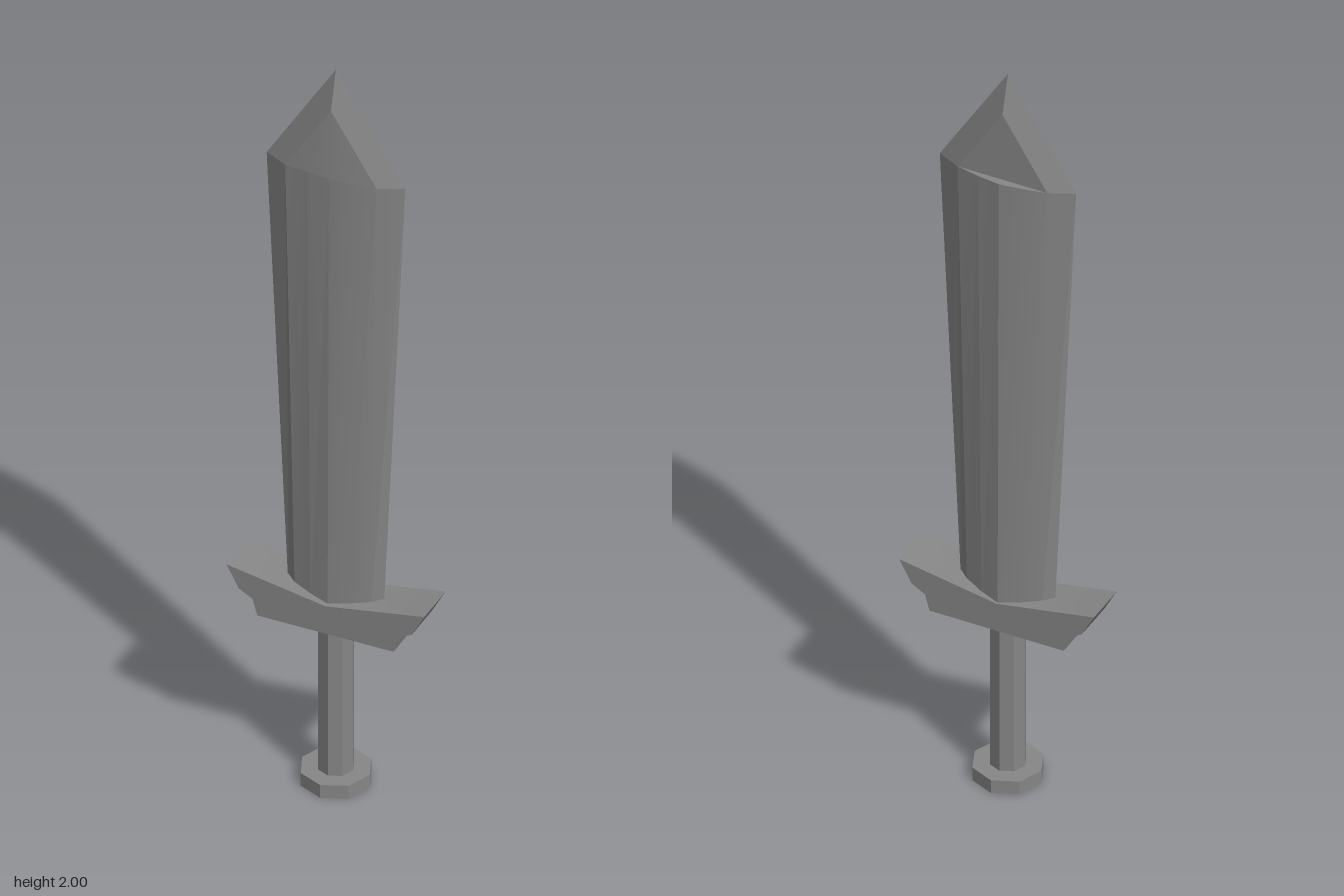
import * as THREE from 'three';
import { toCreasedNormals } from 'three/addons/utils/BufferGeometryUtils.js';

const color = 0x868686;
const material = new THREE.MeshStandardMaterial({ color });
const flat = new THREE.MeshStandardMaterial({ color, flatShading: true });

// Ten-point section: cutting edges at +x and -x, bulging faces at +z and -z
function section(y, edge, inner, bevel, front, back) {
  const mid = (z) => bevel + (z - bevel) * 0.62;
  const half = (s, z) => [
    [s * edge, y, 0],
    [s * inner, y, s * bevel],
    [s * inner * 0.5, y, s * mid(z)],
    [0, y, s * z],
    [-s * inner * 0.5, y, s * mid(z)],
    [-s * inner, y, s * bevel],
  ];
  return [...half(1, front), ...half(-1, back)];
}

// Joins the sections, leaving out collapsed triangles
function loft(rings) {
  const positions = [];
  const [a, b, c] = [0, 1, 2].map(() => new THREE.Vector3());
  const triangle = (...p) => {
    a.fromArray(p[0]);
    b.fromArray(p[1]).sub(a);
    c.fromArray(p[2]).sub(a);
    if (b.cross(c).length() > 1e-7) positions.push(...p.flat());
  };
  for (let i = 0; i < rings.length - 1; i++) {
    const low = rings[i], high = rings[i + 1], n = low.length;
    for (let j = 0; j < n; j++) {
      const k = (j + 1) % n;
      triangle(low[k], low[j], high[j]);
      triangle(low[k], high[j], high[k]);
    }
  }
  const geometry = new THREE.BufferGeometry();
  geometry.setAttribute('position', new THREE.Float32BufferAttribute(positions, 3));
  return toCreasedNormals(geometry, 0.22);
}

function createGuard() {
  // Right half of the profile, mirrored to the left
  const side = [[0.175, 0.445], [0.187, 0.488], [0.222, 0.507], [0.254, 0.566]];
  const mirrored = side.map(([x, y]) => [-x, y]).reverse();
  const outline = [...side, [0, 0.522], ...mirrored].map(([x, y]) => new THREE.Vector2(x, y));
  const geometry = new THREE.ExtrudeGeometry(new THREE.Shape(outline), { depth: 0.116, bevelEnabled: false });
  return toCreasedNormals(geometry.translate(0, 0, -0.058), 0.7);
}

export function createModel() {
  const sword = new THREE.Group();
  sword.name = 'sword';
  const add = (name, geometry, mat) => {
    const mesh = new THREE.Mesh(geometry, mat);
    mesh.name = name;
    sword.add(mesh);
  };

  // The back bulge ends in a small ledge below the point
  const base = section(0.48, 0.121, 0.096, 0.02, 0.046, 0.053);
  const top = section(1.715, 0.178, 0.117, 0.028, 0.039, 0.048);
  const shoulder = section(1.715, 0.178, 0.117, 0.028, 0.039, 0.028);
  const point = shoulder.map(([, , z]) => (z === 0 ? [0, 2, 0] : [0, 1.9, Math.sign(z) * 0.028]));
  add('blade', loft([base, top, shoulder]), material);
  add('bladePoint', loft([shoulder, point]), material);
  add('guard', createGuard(), material);

  // Octagonal grip and pommel
  add('grip', new THREE.CylinderGeometry(0.044, 0.044, 0.43, 8).translate(0, 0.245, 0), flat);
  add('pommel', new THREE.CylinderGeometry(0.087, 0.087, 0.036, 8).translate(0, 0.018, 0), flat);
  return sword;
}
